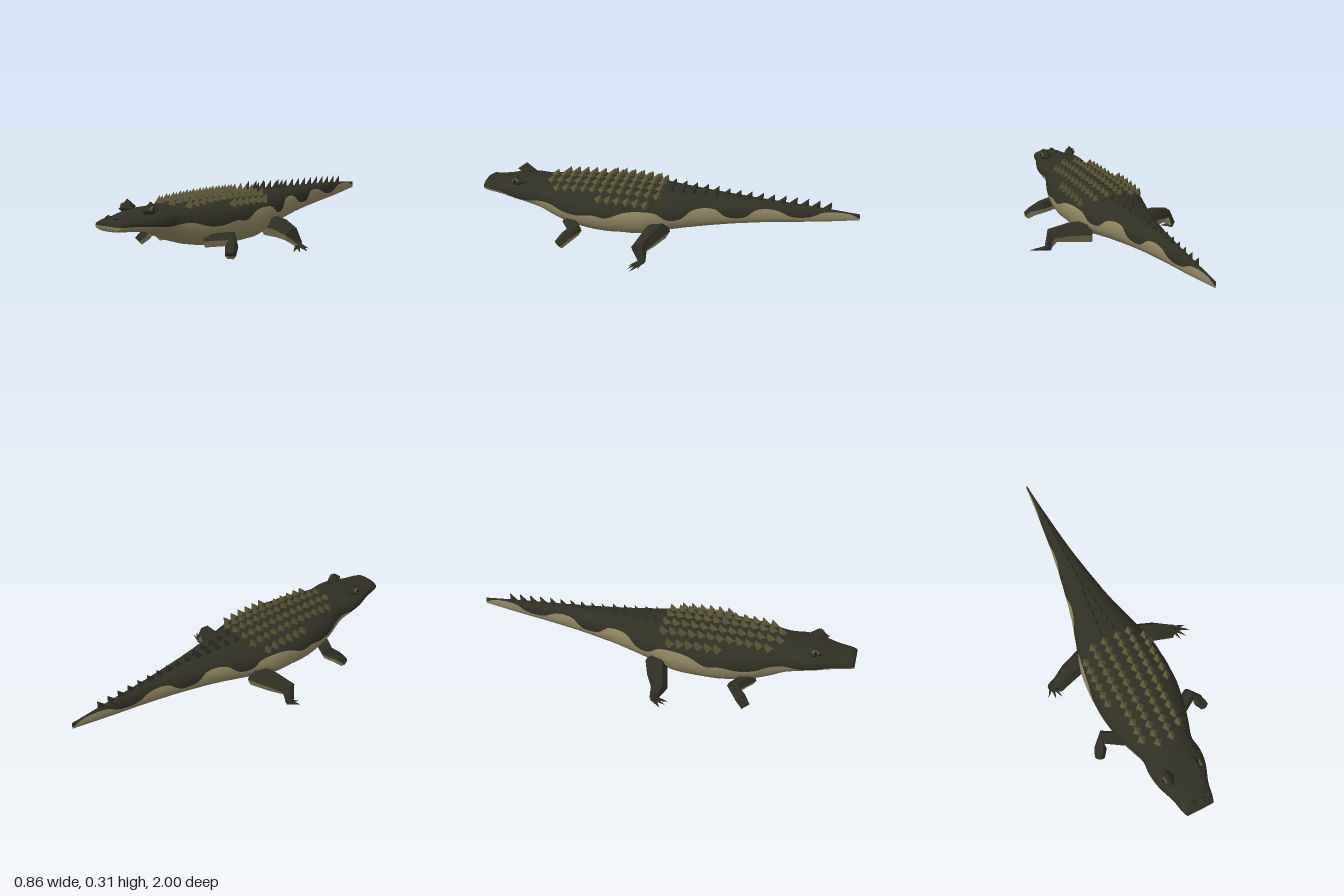
import * as THREE from 'three';
import { mergeGeometries } from 'three/addons/utils/BufferGeometryUtils.js';

const V = (x, y, z) => new THREE.Vector3(x, y, z);
const mat = (name, color) => {
  const m = new THREE.MeshStandardMaterial({ color });
  m.name = name;
  return m;
};
const POWER = 2.3; // squareness of the body cross-section

// Body stations: z, half width, bottom, widest height, top
const STATIONS = [
  [-1, 0.003, 0.19, 0.205, 0.224], [-0.8, 0.022, 0.163, 0.195, 0.24], [-0.6, 0.045, 0.142, 0.19, 0.25],
  [-0.4, 0.077, 0.12, 0.185, 0.258], [-0.2, 0.12, 0.092, 0.175, 0.266], [0, 0.178, 0.058, 0.165, 0.274],
  [0.1, 0.208, 0.036, 0.16, 0.277], [0.2, 0.217, 0.032, 0.16, 0.279], [0.35, 0.216, 0.034, 0.16, 0.279],
  [0.5, 0.19, 0.055, 0.165, 0.277], [0.6, 0.157, 0.085, 0.175, 0.272], [0.66, 0.138, 0.11, 0.185, 0.268],
  [0.74, 0.143, 0.145, 0.2, 0.265], [0.81, 0.133, 0.16, 0.205, 0.26], [0.9, 0.1, 0.17, 0.205, 0.247],
  [0.97, 0.085, 0.178, 0.205, 0.24], [1, 0.074, 0.184, 0.205, 0.232],
];
// Wavy edge between back and belly: z, y
const EDGE = [
  [-1, 0.2], [-0.95, 0.222], [-0.82, 0.222], [-0.75, 0.193], [-0.66, 0.19], [-0.58, 0.222], [-0.48, 0.22],
  [-0.42, 0.178], [-0.33, 0.18], [-0.27, 0.22], [-0.16, 0.216], [-0.1, 0.17], [-0.03, 0.166], [0.02, 0.2],
  [0.1, 0.212], [0.19, 0.203], [0.28, 0.168], [0.35, 0.175], [0.44, 0.16], [0.52, 0.165], [0.6, 0.188],
  [0.75, 0.187], [0.87, 0.2], [1, 0.207],
];

// Eased lookup in a table whose first column is z
function lookup(table, z) {
  let i = 0;
  while (i < table.length - 2 && z > table[i + 1][0]) i++;
  const a = table[i], b = table[i + 1];
  const p = table[Math.max(i - 1, 0)], q = table[Math.min(i + 2, table.length - 1)];
  const d = b[0] - a[0], t = (z - a[0]) / d;
  return a.map((v, k) => {
    const m0 = (b[k] - p[k]) / (b[0] - p[0]) * d, m1 = (q[k] - v) / (q[0] - a[0]) * d;
    return (2 * t ** 3 - 3 * t * t + 1) * v + (t ** 3 - 2 * t * t + t) * m0
      + (3 * t * t - 2 * t ** 3) * b[k] + (t ** 3 - t * t) * m1;
  });
}

// Height of the back at offset x
function backHeight(x, z) {
  const [, w, , mid, top] = lookup(STATIONS, z);
  return mid + (top - mid) * (1 - Math.min(0.98, Math.abs(x) / w) ** POWER) ** (1 / POWER);
}

// Skin over rings of points, first half of each ring in group 0, the rest in group 1; ends closed
function skin(rings, flat) {
  const n = rings[0].length;
  const centre = r => {
    const c = r.reduce((s, p) => s.add(p), V(0, 0, 0)).divideScalar(n);
    return r.map(() => c);
  };
  const all = [centre(rings[0]), ...rings, centre(rings[rings.length - 1])];
  const halves = [[], []];
  for (let i = 0; i < all.length - 1; i++) {
    for (let j = 0; j < n; j++) {
      const k = (j + 1) % n, a = i * n + j, b = i * n + k, c = a + n, d = b + n;
      const out = halves[j < n / 2 ? 0 : 1];
      if (i > 0) out.push(a, b, c);
      if (i < all.length - 2) out.push(b, d, c);
      if (i === 0) out.push(a, d, c);
      if (i === all.length - 2) out.pop(), out.pop(), out.pop(), out.push(a, b, c);
    }
  }
  let g = new THREE.BufferGeometry().setFromPoints(all.flat());
  g.setIndex([...halves[0], ...halves[1]]);
  if (flat) g = g.toNonIndexed();
  g.clearGroups();
  g.addGroup(0, halves[0].length, 0);
  g.addGroup(halves[0].length, halves[1].length, 1);
  g.computeVertexNormals();
  return g;
}

function bodyGeometry() {
  const rings = [], steps = 110, half = 12;
  for (let i = 0; i <= steps; i++) {
    const z = -1 + 2 * i / steps;
    const [, w, bottom, mid, top] = lookup(STATIONS, z);
    const y = lookup(EDGE, z)[1] - mid;
    const s = Math.min(0.9, Math.abs(y) / (y > 0 ? top - mid : mid - bottom));
    const edge = Math.sign(y) * Math.asin(s ** (POWER / 2));
    const ring = [];
    for (let j = 0; j < 2 * half; j++) {
      const a = j < half ? edge + (Math.PI - 2 * edge) * j / half
        : Math.PI - edge + (Math.PI + 2 * edge) * (j - half) / half;
      const c = Math.cos(a), v = Math.sin(a);
      ring.push(V(Math.sign(c) * w * Math.abs(c) ** (2 / POWER),
        mid + Math.sign(v) * (v > 0 ? top - mid : mid - bottom) * Math.abs(v) ** (2 / POWER), z));
    }
    rings.push(ring);
  }
  return skin(rings, false);
}

// Six-sided limb through joints [x, y, z, radius]
function limbGeometry(joints, side) {
  const pts = joints.map(([x, y, z]) => V(x * side, y, z));
  return skin(pts.map((p, i) => {
    const t = pts[Math.min(i + 1, pts.length - 1)].clone().sub(pts[Math.max(i - 1, 0)]).normalize();
    const up = V(0, 1, 0).addScaledVector(t, -t.y).normalize();
    const across = up.clone().cross(t);
    return Array.from({ length: 6 }, (_, j) => p.clone()
      .addScaledVector(across, joints[i][3] * Math.cos(j * Math.PI / 3))
      .addScaledVector(up, joints[i][3] * Math.sin(j * Math.PI / 3)));
  }), true);
}

// Four-sided spike from base to tip
function spike(base, tip, radius) {
  const dir = tip.clone().sub(base), h = dir.length();
  const g = new THREE.ConeGeometry(radius, h, 4).toNonIndexed();
  g.computeVertexNormals();
  g.translate(0, h / 2, 0);
  g.applyQuaternion(new THREE.Quaternion().setFromUnitVectors(V(0, 1, 0), dir.normalize()));
  return g.translate(base.x, base.y, base.z);
}

export function createModel() {
  const back = mat('dark olive back', 0x2f2f24);
  const belly = mat('tan belly', 0x8f8562);
  const scute = mat('olive scutes', 0x5a5435);
  const pupilBlack = mat('pupil black', 0x11110d);
  const model = new THREE.Group();
  model.name = 'crocodile';
  const add = (name, geometry, material) => {
    const m = new THREE.Mesh(geometry, material);
    m.name = name;
    m.position.x = -0.025;
    model.add(m);
    return m;
  };

  add('body', bodyGeometry(), [back, belly]);

  // Rows of scutes on the back
  const scutes = [];
  for (let row = 0; row < 13; row++) {
    const z = 0.62 - row * 0.049;
    for (const x of [-0.163, -0.1, -0.036, 0.036, 0.1, 0.163]) {
      if (Math.abs(x) > 0.15 && (z > 0.37 || z < 0.06)) continue;
      if (Math.abs(x) > 0.09 && z > 0.6) continue;
      const y = backHeight(x, z);
      scutes.push(spike(V(x, y - 0.008, z), V(x * 1.06, y + 0.034, z - 0.016), 0.027));
    }
  }
  add('backScutes', mergeGeometries(scutes), scute);

  // Tail crest: paired at the root, single towards the tip
  const crest = [];
  for (let i = 0; i < 15; i++) {
    const z = -0.02 - i * 0.058;
    for (const x of i < 5 ? [-0.034 + i * 0.005, 0.034 - i * 0.005] : [0]) {
      const y = backHeight(x, z);
      crest.push(spike(V(x, y - 0.012, z), V(x, y + 0.04, z - 0.024), 0.026)
        .translate(-x, 0, 0).scale(0.55, 1, 1).translate(x, 0, 0));
    }
  }
  add('tailCrest', mergeGeometries(crest), back);

  for (const side of [1, -1]) {
    const label = side > 0 ? 'left' : 'right';

    // Brow, eye and nostril
    const brow = new THREE.OctahedronGeometry(1).scale(0.036, 0.042, 0.055);
    add(label + 'Brow', brow.translate(0.076 * side, 0.263, 0.8), back);
    const eye = add(label + 'Eye', new THREE.SphereGeometry(1, 10, 8).scale(0.009, 0.014, 0.02), scute);
    eye.position.set(-0.025 + 0.097 * side, 0.272, 0.805);
    const pupil = add(label + 'Pupil', new THREE.SphereGeometry(1, 8, 6).scale(0.004, 0.011, 0.006), pupilBlack);
    pupil.position.set(-0.025 + 0.104 * side, 0.273, 0.807);
    add(label + 'Nostril', new THREE.OctahedronGeometry(1).scale(0.022, 0.012, 0.02)
      .translate(0.026 * side, 0.241, 0.965), back);

    // Front leg, bent forward at the elbow
    add(label + 'FrontLeg', limbGeometry([
      [0.14, 0.09, 0.5, 0.038], [0.255, 0.1, 0.435, 0.036], [0.285, 0.07, 0.475, 0.032], [0.308, 0.034, 0.51, 0.026],
    ], side), [back, belly]);

    // Hind leg with a thin splayed foot
    add(label + 'HindLeg', limbGeometry([
      [0.14, 0.1, 0.005, 0.058], [0.25, 0.098, 0.04, 0.052], [0.335, 0.082, 0.073, 0.042], [0.37, 0.03, 0.05, 0.02],
    ], side), [back, belly]);
    const reach = side > 0 ? 0.455 : 0.405;
    const claws = [[reach, 0.012, 0.095], [reach - 0.035, 0.006, 0.115], [reach - 0.07, 0.002, 0.12], [reach - 0.02, 0.02, 0.06]]
      .map(([x, y, z]) => spike(V(0.36 * side, 0.03, 0.045), V(x * side, y, z), 0.016));
    add(label + 'HindClaws', mergeGeometries(claws), back);
  }
  return model;
}
